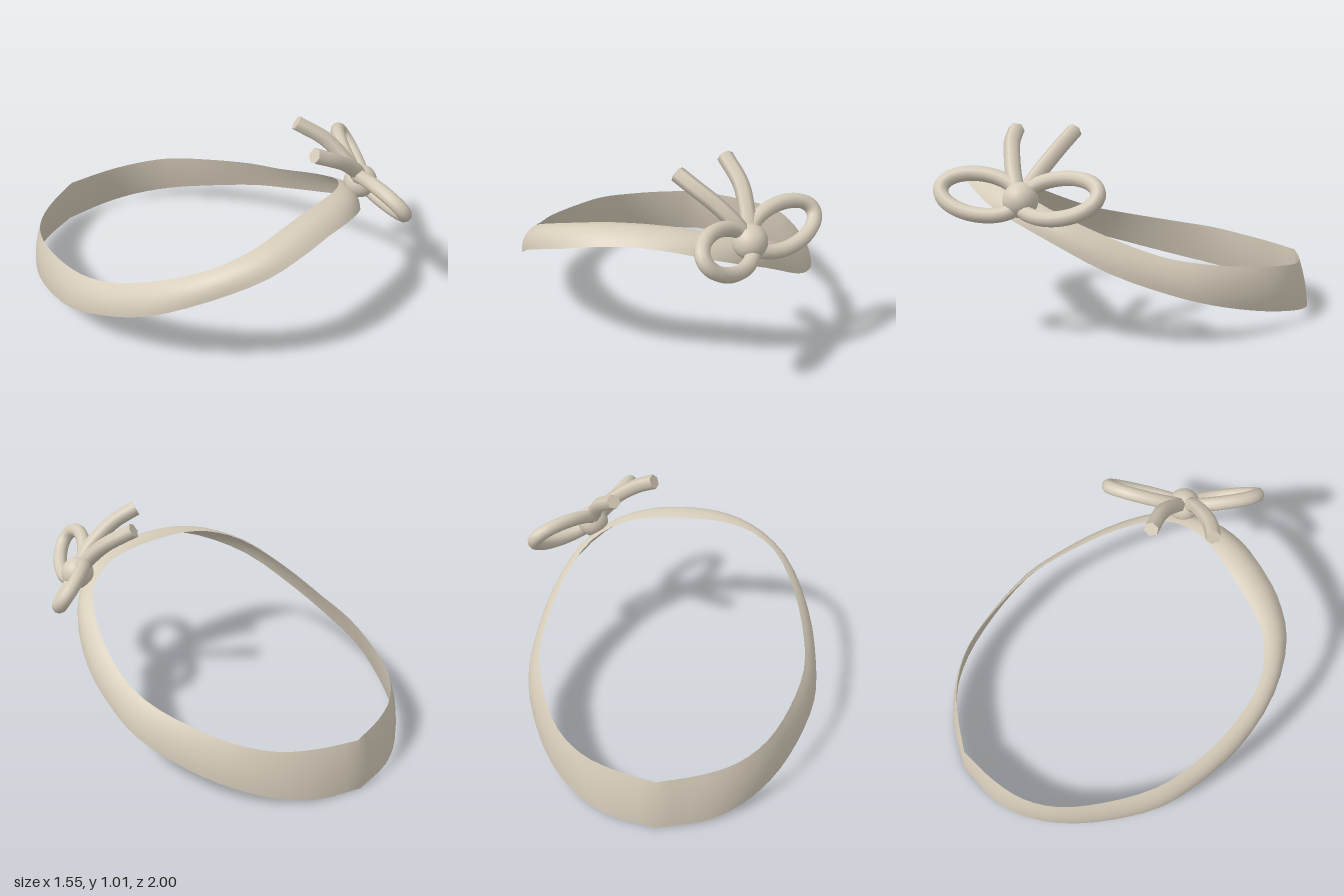
import * as THREE from 'three';

const V = (x, y, z) => new THREE.Vector3(x, y, z);
const cream = new THREE.MeshStandardMaterial({ color: 0xd6ccba, side: THREE.DoubleSide });
cream.name = 'cream fabric';

function add(parent, name, geometry) {
  const mesh = new THREE.Mesh(geometry, cream);
  mesh.name = name;
  parent.add(mesh);
  return mesh;
}

// Half outlines of the band, from back centre round one side to front centre
const lowerEdge = [
  [0, 0, -1], [0.23, 0.01, -0.945], [0.39, 0.035, -0.85], [0.53, 0.07, -0.7],
  [0.65, 0.12, -0.48], [0.735, 0.19, -0.22], [0.74, 0.25, -0.03], [0.7, 0.36, 0.25],
  [0.57, 0.515, 0.53], [0.37, 0.62, 0.715], [0.17, 0.675, 0.775], [0, 0.69, 0.783],
];
const upperEdge = [
  [0, 0.255, -0.965], [0.21, 0.26, -0.9], [0.37, 0.27, -0.815], [0.5, 0.295, -0.68],
  [0.6, 0.325, -0.47], [0.67, 0.37, -0.21], [0.668, 0.42, 0], [0.605, 0.535, 0.28],
  [0.49, 0.64, 0.49], [0.33, 0.7, 0.588], [0.16, 0.727, 0.612], [0, 0.733, 0.615],
];

// Mirror a half outline into a full closed ring of points
function ring(points) {
  const n = 33;
  const half = new THREE.CatmullRomCurve3(points.map(p => V(...p))).getPoints.call(
    new THREE.CatmullRomCurve3(points.map(p => V(...p))), n);
  const mirrored = half.slice(1, n).reverse().map(p => V(-p.x, p.y, p.z));
  return [...half, ...mirrored];
}

// One face of the band: a strip between both edges, bowed outwards
function bandFace(low, high, bulgeBack, bulgeFront, flip) {
  const count = low.length, steps = 8, pos = [], idx = [];
  for (let i = 0; i < count; i++) {
    const across = high[i].clone().sub(low[i]);
    const tangent = low[(i + 1) % count].clone().sub(low[(i + count - 1) % count]);
    const normal = across.clone().cross(tangent).normalize();
    const bulge = THREE.MathUtils.lerp(bulgeBack, bulgeFront, (low[i].z + 1) / 1.78);
    for (let j = 0; j <= steps; j++) {
      const s = j / steps;
      const p = low[i].clone().addScaledVector(across, s).addScaledVector(normal, bulge * 4 * s * (1 - s));
      pos.push(p.x, p.y, p.z);
      if (j === steps) continue;
      const a = i * (steps + 1) + j, b = ((i + 1) % count) * (steps + 1) + j;
      if (flip) idx.push(a, b, a + 1, a + 1, b, b + 1);
      else idx.push(a, a + 1, b, a + 1, b + 1, b);
    }
  }
  const g = new THREE.BufferGeometry();
  g.setAttribute('position', new THREE.Float32BufferAttribute(pos, 3));
  g.setIndex(idx);
  g.computeVertexNormals();
  return g;
}

// Flat cap over the far end of a tube
function endCap(tube, segments, radial) {
  const p = tube.attributes.position, pos = [], idx = [];
  for (let j = 0; j < radial; j++) {
    const k = segments * (radial + 1) + j;
    pos.push(p.getX(k), p.getY(k), p.getZ(k));
    if (j > 1) idx.push(0, j - 1, j);
  }
  const g = new THREE.BufferGeometry();
  g.setAttribute('position', new THREE.Float32BufferAttribute(pos, 3));
  g.setIndex(idx);
  g.computeVertexNormals();
  return g;
}

export function createModel() {
  const model = new THREE.Group();
  model.name = 'headband';

  // Band
  const band = new THREE.Group();
  band.name = 'band';
  band.position.x = -0.03;
  model.add(band);
  const low = ring(lowerEdge), high = ring(upperEdge);
  add(band, 'bandOuterFace', bandFace(low, high, 0.008, 0.033, false));
  add(band, 'bandInnerFace', bandFace(low, high, -0.008, 0.012, true));

  // Bow knot
  const bow = new THREE.Group();
  bow.name = 'bow';
  model.add(bow);
  const knot = V(0.47, 0.685, 0.62);
  add(bow, 'knot', new THREE.SphereGeometry(0.083, 24, 16)).position.copy(knot);

  // Bow loops: tilted ellipses starting at the knot
  const loops = [
    ['backLoop', V(0.265, 0.045, -0.3), V(-0.043, 0.085, -0.038)],
    ['frontLoop', V(-0.155, 0.045, 0.345), V(-0.056, 0.085, -0.025)],
  ];
  for (const [name, along, across] of loops) {
    const pts = [];
    for (let i = 0; i < 20; i++) {
      const t = (i / 20) * Math.PI * 2;
      pts.push(knot.clone().addScaledVector(along, (1 - Math.cos(t)) / 2).addScaledVector(across, Math.sin(t)));
    }
    add(bow, name, new THREE.TubeGeometry(new THREE.CatmullRomCurve3(pts, true), 48, 0.036, 10, true));
  }

  // Bow tails with cut ends
  const tails = [
    ['sideTail', [knot, V(0.4, 0.78, 0.635), V(0.31, 0.86, 0.627), V(0.22, 0.92, 0.61), V(0.125, 0.972, 0.57)]],
    ['backTail', [knot, V(0.45, 0.77, 0.555), V(0.405, 0.885, 0.445), V(0.31, 0.98, 0.325)]],
  ];
  for (const [name, pts] of tails) {
    const tube = new THREE.TubeGeometry(new THREE.CatmullRomCurve3(pts), 20, 0.039, 6, false);
    add(bow, name, tube);
    add(bow, name + 'End', endCap(tube, 20, 6));
  }
  return model;
}
